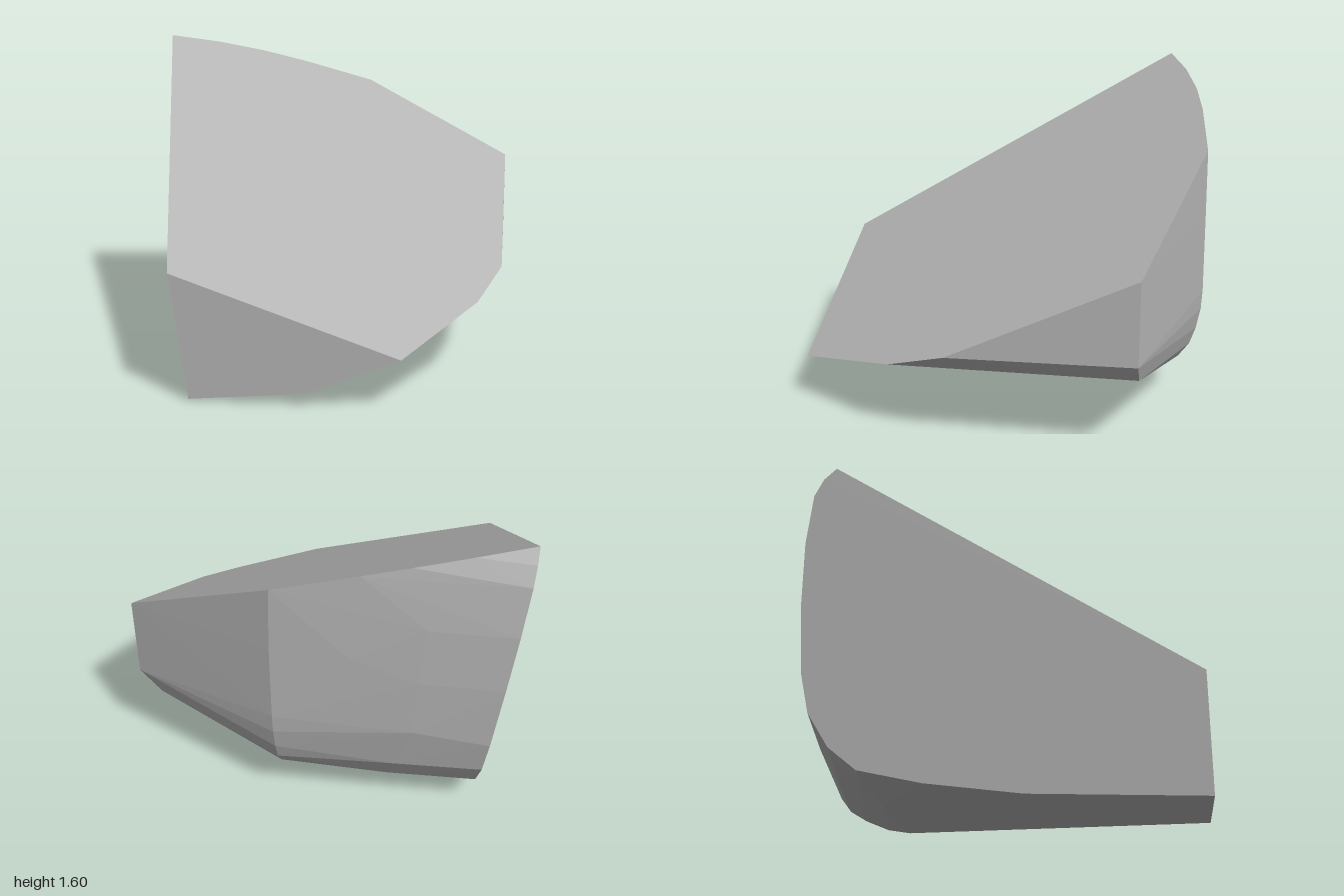
import * as THREE from 'three';
import { ConvexGeometry } from 'three/addons/geometries/ConvexGeometry.js';

// Points on the sloping top cut: height follows from x and z
const onTop = ([x, z]) => new THREE.Vector3(x, 0.61 - 0.332 * (x + 0.54) - 0.481 * (z - 1), z);
// Points on the left-hand cut: x follows from y and z
const onSideCut = ([y, z]) => new THREE.Vector3(-0.54 - 0.149 * (y - 0.61) + 0.173 * (z - 1), y, z);
const point = (p) => new THREE.Vector3(...p);

export function createModel() {
  const group = new THREE.Group();
  group.name = 'rockFragment';
  const stone = new THREE.MeshStandardMaterial({ color: 0xb4b4b4 });
  stone.name = 'grey stone';
  stone.flatShading = true;

  // Outline of the flat top
  const top = [
    [-0.99, -0.75], [-0.73, -0.845], [-0.47, -0.912], [-0.24, -0.95], [0.17, -0.99],
    [0.985, -0.73], [0.985, 0.18], [0.875, 0.48], [0.55, 1], [-0.54, 1],
  ].map(onTop);

  // Curved rim of the side cut, from the front foot up to the tall corner
  const sideCut = [
    [0.005, 1], [0, 0.13], [0.04, -0.33], [0.095, -0.63], [0.2, -0.76], [0.36, -0.855],
    [0.55, -0.89], [0.9, -0.9], [1.2, -0.89], [1.45, -0.855], [1.54, -0.81],
  ].map(onSideCut);

  // Rounded ridge running down the back and under
  const ridge = [
    [0.18, 1.0, -0.995], [0.18, 0.6, -1], [0.18, 0.5, -0.995], [0.18, 0.39, -0.975],
    [0.18, 0.3, -0.945], [0.18, 0.225, -0.89], [0.17, 0.165, -0.8], [0.14, 0.1, -0.67],
    [0.12, 0.072, -0.55],
  ].map(point);

  // Slight bulge of the worn back between the ridge and the side cut
  const bulge = [
    [-0.55, 1.2, -0.937], [-0.52, 0.9, -0.948], [-0.5, 0.6, -0.945], [-0.4, 0.35, -0.908],
    [-0.35, 0.2, -0.822], [-0.3, 0.075, -0.6], [-0.2, 1.0, -0.973],
  ].map(point);

  // Right wall, its lower bevel and the front lower edge
  const wall = [
    [0.985, 0.515, -0.73], [0.875, 0.4, -0.73], [0.12, 0.065, 1],
  ].map(point);

  const rock = new THREE.Mesh(
    new ConvexGeometry([...top, ...sideCut, ...ridge, ...bulge, ...wall]), stone);
  rock.name = 'rock';
  group.add(rock);
  return group;
}
